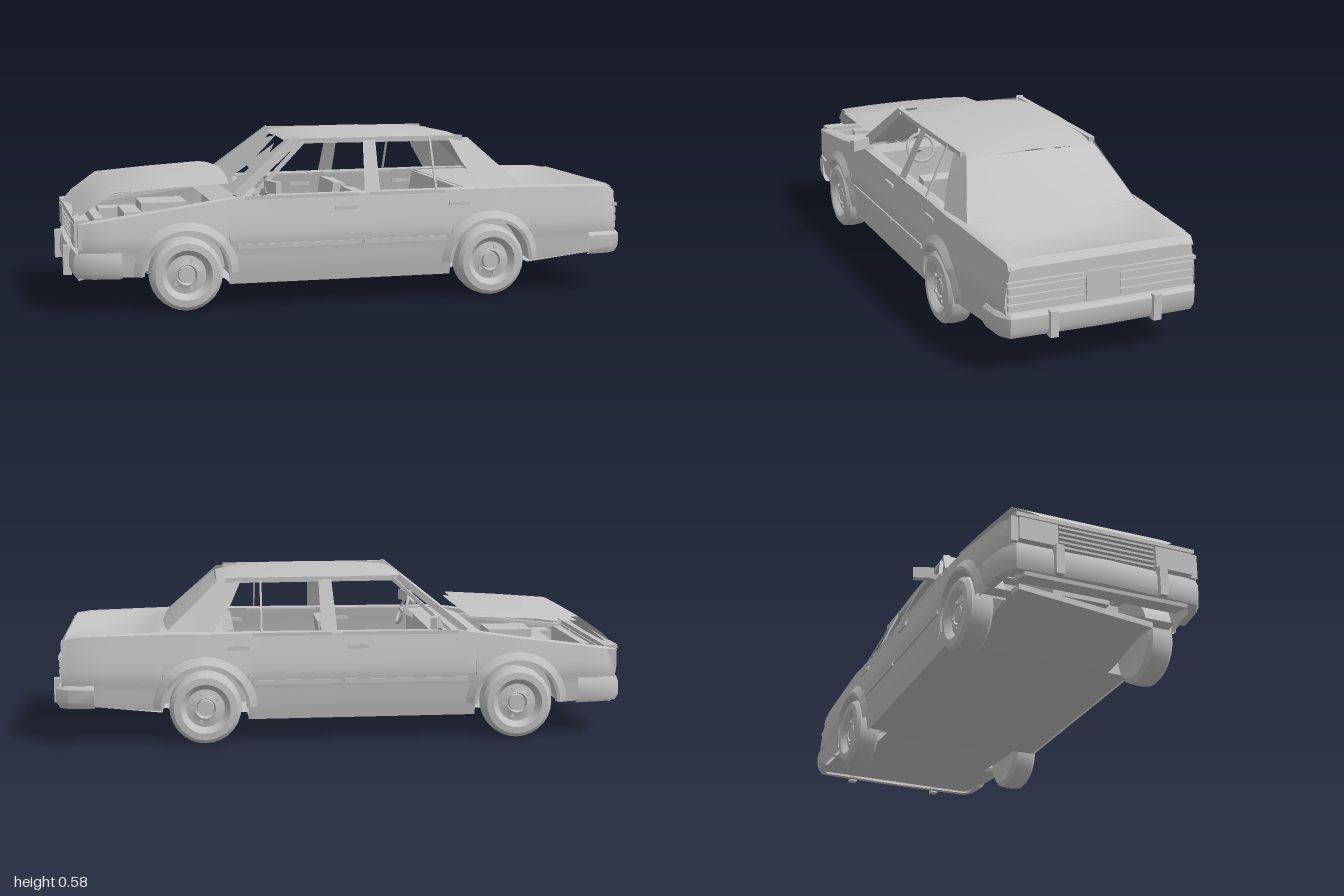
import * as THREE from 'three';
import { toCreasedNormals } from 'three/addons/utils/BufferGeometryUtils.js';

const paint = new THREE.MeshStandardMaterial({ color: 0xc2c2c2, side: THREE.DoubleSide });
paint.name = 'bare grey';

// Piecewise linear lookup through [x, value] pairs
function at(table, x) {
  if (x <= table[0][0]) return table[0][1];
  for (let i = 1; i < table.length; i++) {
    const [x0, a] = table[i - 1], [x1, b] = table[i];
    if (x <= x1) return a + (b - a) * (x - x0) / (x1 - x0);
  }
  return table[table.length - 1][1];
}

export function createModel() {
  const car = new THREE.Group();
  car.name = 'wreckedSedan';

  function add(name, geo, pos = [0, 0, 0], parent = car) {
    const m = new THREE.Mesh(geo, paint);
    m.name = name;
    m.position.set(...pos);
    parent.add(m);
    return m;
  }
  const box = (name, pos, size, rz = 0) => {
    const m = add(name, new THREE.BoxGeometry(...size), pos);
    m.rotation.z = rz;
    return m;
  };
  // Box beam between two points
  function bar(name, a, b, w, d) {
    const p = new THREE.Vector3(...a), q = new THREE.Vector3(...b);
    const m = add(name, new THREE.BoxGeometry(w, d, p.distanceTo(q)), p.clone().add(q).multiplyScalar(0.5).toArray());
    m.lookAt(q);
    return m;
  }
  // Surface through equal-length rows of points
  function sheet(name, rows) {
    const n = rows[0].length, idx = [];
    for (let i = 0; i < rows.length - 1; i++)
      for (let j = 0; j < n - 1; j++) {
        const a = i * n + j, b = a + n;
        idx.push(a, b, a + 1, b, b + 1, a + 1);
      }
    const g = new THREE.BufferGeometry();
    g.setAttribute('position', new THREE.Float32BufferAttribute(rows.flat(2), 3));
    g.setIndex(idx);
    return add(name, toCreasedNormals(g, 0.6));
  }
  const across = [-1, -0.93, -0.6, 0, 0.6, 0.93, 1];
  // Crowned panel from stations [x, y, half width]
  const panel = (name, stations, crown, xBow = 0) => sheet(name, stations.map(([x, y, w]) =>
    across.map(t => [x + xBow * (1 - t * t), y - crown * t * t, w * t])));

  // Body lines along the length; the nose points to -x
  const top = [[-0.96, 0.30], [-0.42, 0.375], [0.6, 0.378], [0.92, 0.37], [0.96, 0.352]];
  const sill = [[-0.96, 0.13], [-0.76, 0.12], [-0.45, 0.082], [0.33, 0.08], [0.62, 0.115], [0.95, 0.14]];
  const width = [[-0.96, 0.315], [-0.9, 0.338], [-0.6, 0.358], [-0.4, 0.35], [0.3, 0.35], [0.5, 0.358], [0.9, 0.34], [0.96, 0.325]];
  const bulge = [[0.08, 0.955], [0.14, 0.985], [0.205, 1.0], [0.225, 1.015], [0.26, 1.01], [0.30, 0.99], [0.38, 0.94]];
  const skinZ = (x, y) => at(width, x) * at(bulge, y);
  const axles = [-0.605, 0.475], axleY = 0.124, archR = 0.147;
  const bottom = x => {
    for (const c of axles) {
      const d = archR * archR - (x - c) ** 2;
      if (d > 1e-9) return axleY + Math.sqrt(d);
    }
    return at(sill, x);
  };
  const xs = [-0.96, -0.93, -0.9, -0.84, -0.79, -0.42, -0.3, -0.1, 0.01, 0.15, 0.3, 0.66, 0.74, 0.82, 0.9, 0.93, 0.96];
  for (const c of axles) for (let i = 0; i <= 18; i++) xs.push(c - archR * Math.cos(i / 18 * Math.PI));
  xs.sort((a, b) => a - b);

  // Wheel, turned around its axle
  const tyre = [[0.03, 0.018], [0.035, 0.034], [0.05, 0.028], [0.066, 0.026], [0.075, 0.038], [0.085, 0.047], [0.108, 0.045],
    [0.121, 0.033], [0.124, 0], [0.121, -0.034], [0.105, -0.046], [0.075, -0.04], [0.001, -0.03]];
  const wheelGeo = toCreasedNormals(new THREE.LatheGeometry(tyre.map(p => new THREE.Vector2(...p)), 28), 0.6);
  const hubGeo = new THREE.CylinderGeometry(0.028, 0.032, 0.03, 12);
  const nutGeo = new THREE.CylinderGeometry(0.007, 0.007, 0.012, 6);

  for (const s of [1, -1]) {
    const side = s > 0 ? 'left' : 'right';
    // Body side with wheel openings
    sheet(side + 'BodySide', xs.map(x => {
      const lo = bottom(x), hi = at(top, x), row = [];
      for (let j = 0; j <= 12; j++) {
        const y = lo + (hi - lo) * j / 12;
        row.push([x, y, s * skinZ(x, y)]);
      }
      return row;
    }));
    // Shoulder lip folded inwards
    sheet(side + 'Shoulder', xs.map(x => {
      const y = at(top, x), z = skinZ(x, y);
      return [[x, y, s * z], [x, y + 0.006, s * (z - 0.015)], [x, y + 0.002, s * (z - 0.04)]];
    }));
    // Wheels, swelling arch flares and wheel wells
    for (const c of axles) {
      const w = new THREE.Group();
      w.name = side + (c < 0 ? 'FrontWheel' : 'RearWheel');
      w.position.set(c, axleY, s * 0.321);
      w.rotation.x = s * Math.PI / 2;
      add('tyreAndRim', wheelGeo, [0, 0, 0], w);
      add('hub', hubGeo, [0, 0.018, 0], w);
      for (let k = 0; k < 5; k++) {
        const a = k * Math.PI * 0.4;
        add('wheelNut', nutGeo, [0.048 * Math.cos(a), 0.029, 0.048 * Math.sin(a)], w);
      }
      car.add(w);
      sheet('archFlare', Array.from({ length: 25 }, (_, i) => {
        const a = Math.PI * i / 24;
        return [[0.141, -0.012], [0.141, 0.012], [0.152, 0.014], [0.178, 0]].map(([r, out]) => {
          const x = c + r * Math.cos(a), y = axleY + r * Math.sin(a);
          return [x, y, s * (skinZ(x, y) + out)];
        });
      }));
      const well = add('wheelWell', new THREE.CylinderGeometry(archR, archR, 0.1, 24, 1, true, -Math.PI / 2, Math.PI), [c, axleY, s * 0.3]);
      well.rotation.x = -Math.PI / 2;
      add('wellWall', new THREE.CircleGeometry(archR, 20, 0, Math.PI), [c, axleY, s * 0.25]);
    }
    // Pillars and roof rail
    bar('frontPillar', [-0.43, 0.375, s * 0.318], [-0.2, 0.558, s * 0.236], 0.025, 0.022);
    bar('windowFrame', [-0.37, 0.38, s * 0.325], [-0.18, 0.55, s * 0.246], 0.012, 0.012);
    bar('roofRail', [-0.2, 0.553, s * 0.238], [0.4, 0.55, s * 0.238], 0.02, 0.018);
    sheet('middlePillar', [[[0.02, 0.375, s * 0.328], [0.075, 0.375, s * 0.328]], [[0.035, 0.555, s * 0.246], [0.08, 0.555, s * 0.246]]]);
    bar('windowDivider', [0.28, 0.375, s * 0.326], [0.28, 0.55, s * 0.246], 0.007, 0.006);
    sheet('rearPillar', [[[0.345, 0.555, s * 0.246], [0.425, 0.55, s * 0.236]],
      [[0.385, 0.47, s * 0.286], [0.51, 0.47, s * 0.27]], [[0.45, 0.375, s * 0.328], [0.61, 0.378, s * 0.31]]]);
    // Door trim: rub strip, belt moulding and handles
    for (const [a, b] of [[-0.43, 0.0], [0.01, 0.31]]) {
      bar('rubStrip', [a, 0.212, s * 0.354], [b, 0.212, s * 0.354], 0.008, 0.014);
      bar('beltMoulding', [a + 0.03, 0.373, s * 0.329], [b, 0.373, s * 0.329], 0.008, 0.012);
    }
    for (const x of [-0.05, 0.36]) box('doorHandle', [x, 0.33, s * 0.341], [0.075, 0.014, 0.012]);
    // Door mirror
    bar('mirrorArm', [-0.34, 0.385, s * 0.31], [-0.325, 0.4, s * 0.345], 0.02, 0.02);
    box('mirror', [-0.313, 0.412, s * 0.365], [0.022, 0.04, 0.072]).rotation.y = s * 0.35;
    // Front and rear lamps
    box('headlamp', [-0.945, 0.26, s * 0.235], [0.05, 0.075, 0.13]);
    box('cornerLamp', [-0.925, 0.26, s * 0.312], [0.07, 0.085, 0.024]);
    for (const y of [0.225, 0.252, 0.28]) box('tailLamp', [0.96, y, s * 0.19], [0.014, 0.02, 0.26]);
    box('tailLampFrame', [0.96, 0.302, s * 0.19], [0.018, 0.012, 0.27]);
    // Overriders
    box('rearOverrider', [0.985, 0.165, s * 0.178], [0.026, 0.085, 0.028]);
    box('frontOverrider', [-0.985, 0.163, s * 0.178], [0.028, 0.1, 0.028]);
    // Front seat
    box('seatCushion', [-0.09, 0.19, s * 0.15], [0.2, 0.08, 0.2]);
    box('seatBack', [0.02, 0.275, s * 0.15], [0.05, 0.18, 0.2], -0.15);
  }

  // Roof, glass and dished boot lid
  panel('roof', [[-0.225, 0.553, 0.238], [-0.19, 0.567, 0.246], [-0.08, 0.575, 0.25], [0.12, 0.576, 0.25], [0.34, 0.569, 0.248], [0.43, 0.55, 0.238]], 0.015);
  panel('rearWindow', [[0.425, 0.548, 0.236], [0.52, 0.468, 0.272], [0.61, 0.383, 0.31]], 0.008, 0.012);
  sheet('bootLid', [[0.6, 0.386, 0], [0.622, 0.384, 0], [0.66, 0.384, 0.02], [0.74, 0.382, 0.035], [0.83, 0.38, 0.032], [0.9, 0.378, 0.015], [0.945, 0.374, 0], [0.962, 0.35, 0]].map(
    ([x, y, dip]) => [-0.318, -0.275, -0.2, 0, 0.2, 0.275, 0.318].map(z => [x, y - (Math.abs(z) < 0.25 ? dip : Math.abs(z) < 0.3 ? dip * 0.4 : 0.006), z])));

  // Broken windscreen, drawn flat and then leaned back
  const glass = new THREE.Shape([[-1, 0], [1, 0], [1, 1], [0.72, 1], [0.6, 0.72], [0.38, 0.88], [0.2, 0.6], [0.05, 1], [-0.3, 0.9], [-0.45, 1], [-1, 1]].map(p => new THREE.Vector2(...p)));
  glass.holes.push(new THREE.Path([[0.1, 0.2], [0.35, 0.12], [0.42, 0.4], [0.22, 0.42]].map(p => new THREE.Vector2(...p))));
  const glassGeo = new THREE.ShapeGeometry(glass), gp = glassGeo.attributes.position;
  for (let i = 0; i < gp.count; i++) {
    const u = gp.getX(i), v = gp.getY(i);
    gp.setXYZ(i, -0.425 + 0.205 * v, 0.378 + 0.177 * v, u * (0.312 - 0.076 * v));
  }
  glassGeo.computeVertexNormals();
  add('brokenWindscreen', glassGeo);

  // Sprung bonnet with a bent nose, and its underside
  const hood = [[-0.972, 0.325, 0.21], [-0.93, 0.362, 0.255], [-0.84, 0.424, 0.268], [-0.65, 0.437, 0.282], [-0.455, 0.447, 0.293]];
  panel('bonnet', hood, 0.014, 0.022);
  panel('bonnetUnderside', hood.map(([x, y, w]) => [x + 0.006, y - 0.014, w - 0.003]), 0.014, 0.022);
  panel('cowl', [[-0.5, 0.355, 0.32], [-0.42, 0.38, 0.318]], 0.004);

  // Nose, grille and front apron
  box('nosePanel', [-0.935, 0.21, 0], [0.02, 0.17, 0.62]);
  box('grilleHeader', [-0.945, 0.308, 0], [0.05, 0.014, 0.62]);
  for (let i = 0; i < 5; i++) box('grilleSlat', [-0.955, 0.225 + i * 0.017, 0], [0.022, 0.007, 0.33]);
  box('frontApron', [-0.92, 0.125, 0], [0.08, 0.02, 0.56], 0.2);

  // Wraparound bumpers with a chamfered section: [offset, y]
  function bumper(name, path, section) {
    sheet(name, path.map(([x, z, nx, nz]) => section.map(([o, y]) => [x + nx * o, y, z + nz * o])));
  }
  const rearPath = [[0.85, -0.337, 0, -1], [0.93, -0.33, 0.3, -0.8], [0.96, -0.31, 1, -0.4], [0.968, 0, 1, 0], [0.96, 0.31, 1, 0.4], [0.93, 0.33, 0.3, 0.8], [0.85, 0.337, 0, 1]];
  bumper('rearBumper', rearPath, [[-0.02, 0.125], [0.008, 0.128], [0.02, 0.15], [0.02, 0.195], [0.01, 0.207], [-0.02, 0.207]]);
  const frontPath = [[-0.82, -0.342, 0, -1], [-0.91, -0.33, -0.3, -0.8], [-0.955, -0.305, -1, -0.4], [-0.968, 0, -1, 0], [-0.955, 0.305, -1, 0.4], [-0.91, 0.33, -0.3, 0.8], [-0.82, 0.342, 0, 1]];
  bumper('frontBumper', frontPath, [[-0.02, 0.118], [0.01, 0.12], [0.02, 0.14], [0.02, 0.185], [0.012, 0.205], [-0.02, 0.208]]);

  // Tail panel and plate recess
  sheet('tailPanel', [0.14, 0.21, 0.3, 0.352].map(y => [[0.955, y, -skinZ(0.96, y)], [0.96, y, 0], [0.955, y, skinZ(0.96, y)]]));
  box('plateRecess', [0.963, 0.26, 0], [0.01, 0.1, 0.115]);

  // Underside, narrowed between the wheels
  const floorW = x => axles.some(c => Math.abs(x - c) < archR) ? 0.255 : at(width, x) * 0.95;
  sheet('floor', xs.filter(x => x > -0.8).map(x => {
    const y = at([[-0.8, 0.14], [-0.5, 0.088], [0.4, 0.088], [0.95, 0.14]], x), w = floorW(x);
    return [[x, y, -w], [x, y, 0], [x, y, w]];
  }));
  bar('bentCrossMember', [-0.82, 0.13, -0.25], [-0.76, 0.12, 0.25], 0.05, 0.02);

  // Engine bay
  box('firewall', [-0.43, 0.23, 0], [0.012, 0.27, 0.64]);
  box('engineBlock', [-0.66, 0.235, 0], [0.24, 0.14, 0.2]);
  box('airFilter', [-0.64, 0.315, 0.02], [0.16, 0.04, 0.15]);
  box('radiator', [-0.88, 0.23, 0], [0.03, 0.15, 0.42]);
  box('battery', [-0.8, 0.25, 0.2], [0.09, 0.09, 0.09]);
  box('washerTank', [-0.8, 0.245, -0.21], [0.08, 0.08, 0.08]);
  for (const z of [-0.28, 0.28]) bar('bayBrace', [-0.9, 0.295, z], [-0.48, 0.345, z], 0.02, 0.015);

  // Cabin: dashboard, steering wheel, rear bench and shelf
  box('dashboard', [-0.365, 0.325, 0], [0.11, 0.09, 0.62]);
  const ring = add('steeringWheel', new THREE.TorusGeometry(0.052, 0.006, 6, 20), [-0.27, 0.385, 0.14]);
  ring.rotation.set(0, Math.PI / 2, 0.4, 'ZYX');
  bar('steeringColumn', [-0.37, 0.335, 0.14], [-0.27, 0.385, 0.14], 0.018, 0.018);
  bar('steeringSpoke', [-0.27, 0.385, 0.09], [-0.27, 0.385, 0.19], 0.014, 0.008);
  box('rearBench', [0.27, 0.19, 0], [0.18, 0.09, 0.48]);
  box('rearBenchBack', [0.38, 0.28, 0], [0.05, 0.19, 0.48], -0.2);
  box('parcelShelf', [0.51, 0.368, 0], [0.2, 0.01, 0.62]);

  return car;
}
